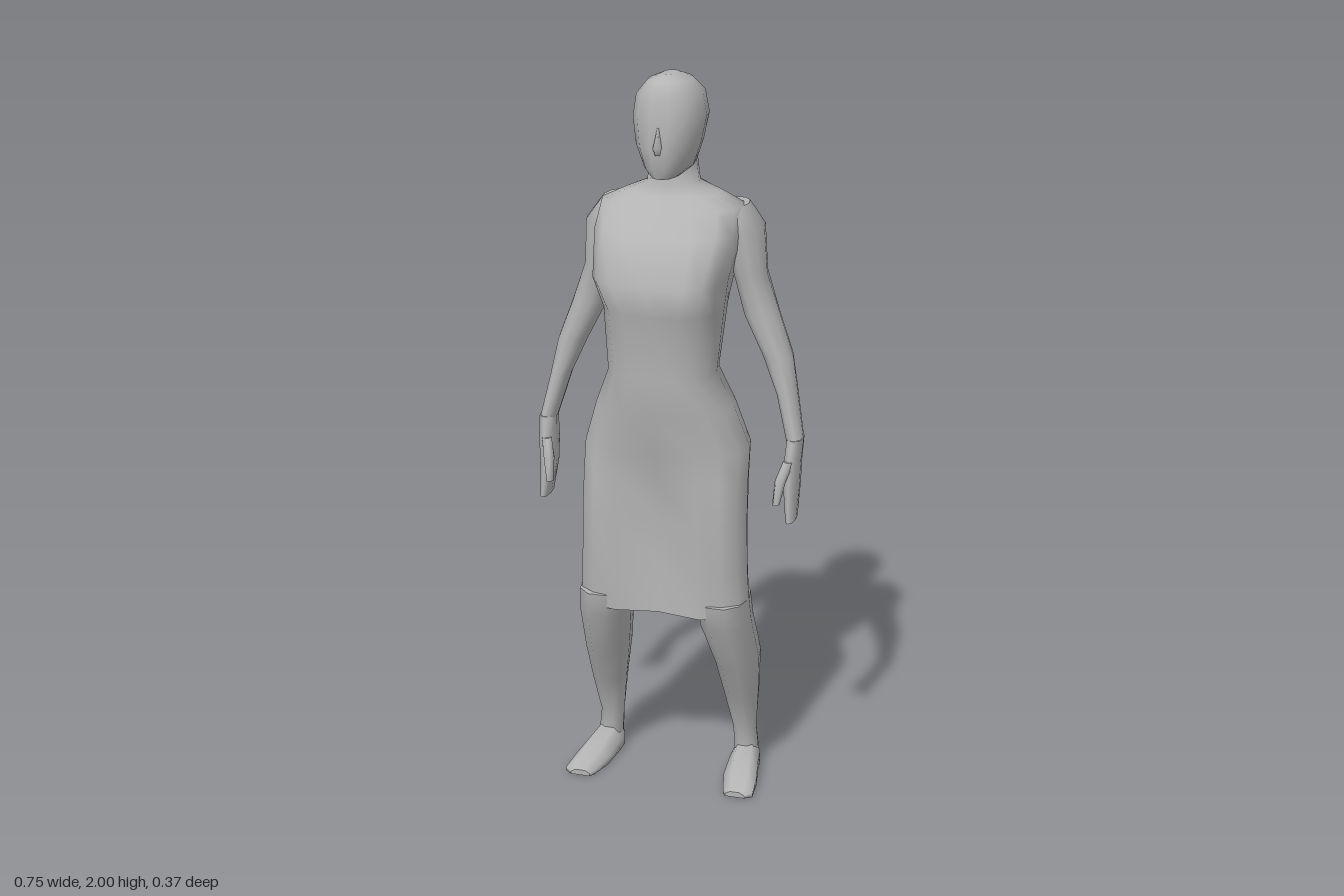
import * as THREE from 'three';

const skin = new THREE.MeshStandardMaterial({ color: 0xb4b4b4 });
skin.name = 'plain grey';

// Skins a list of equal-length rings and closes both ends with crisp caps
function loft(name, rings) {
  const n = rings[0].length, pos = rings.flat(2), idx = [];
  for (let r = 0; r < rings.length - 1; r++) {
    for (let i = 0; i < n; i++) {
      const a = r * n + i, b = r * n + (i + 1) % n;
      idx.push(a, a + n, b, b, a + n, b + n);
    }
  }
  [0, rings.length - 1].forEach((r) => {
    const base = pos.length / 3, ring = rings[r];
    ring.forEach((p) => pos.push(...p));
    pos.push(...[0, 1, 2].map((k) => ring.reduce((s, p) => s + p[k], 0) / n));
    for (let i = 0; i < n; i++) {
      const j = (i + 1) % n;
      if (r === 0) idx.push(base + i, base + j, base + n);
      else idx.push(base + j, base + i, base + n);
    }
  });
  // Turn the faces outward if the enclosed volume is negative
  const at = (i) => new THREE.Vector3().fromArray(pos, i * 3);
  let volume = 0;
  for (let i = 0; i < idx.length; i += 3) {
    volume += at(idx[i]).dot(at(idx[i + 1]).cross(at(idx[i + 2])));
  }
  if (volume < 0) idx.reverse();
  const geo = new THREE.BufferGeometry();
  geo.setAttribute('position', new THREE.Float32BufferAttribute(pos, 3));
  geo.setIndex(idx);
  geo.computeVertexNormals();
  const mesh = new THREE.Mesh(geo, skin);
  mesh.name = name;
  return mesh;
}

// Horizontal rounded ring: e = 1 is an ellipse, smaller is boxier
function ring(y, x0, x1, zBack, zFront, e = 1, n = 12) {
  const pts = [];
  const pow = (v) => Math.sign(v) * Math.pow(Math.abs(v), e);
  for (let i = 0; i < n; i++) {
    const t = (i / n) * Math.PI * 2;
    pts.push([
      (x0 + x1) / 2 + (x1 - x0) / 2 * pow(Math.cos(t)), y,
      (zBack + zFront) / 2 + (zFront - zBack) / 2 * pow(Math.sin(t)),
    ]);
  }
  return pts;
}

export function createModel() {
  const model = new THREE.Group();

  // Torso: y, half width, back z, front z, boxiness
  const torso = [
    [1.77, 0.062, -0.155, 0.0, 1], [1.71, 0.07, -0.155, 0.0, 1],
    [1.685, 0.13, -0.165, 0.015, 0.9], [1.655, 0.195, -0.175, 0.04, 0.85],
    [1.59, 0.2, -0.185, 0.095, 0.75], [1.48, 0.175, -0.172, 0.185, 0.6],
    [1.39, 0.16, -0.155, 0.142, 0.75], [1.22, 0.147, -0.115, 0.143, 0.85],
    [1.12, 0.19, -0.145, 0.13, 0.85], [1.0, 0.23, -0.16, 0.105, 0.8],
  ].map(([y, w, b, f, e]) => ring(y, -w, w, b, f, e, 16));

  // Joined thighs: same rings, hollowed between the legs front and back
  const thighs = [
    [1.0, 0.23, -0.16, 0.105, 0], [0.92, 0.23, -0.135, 0.112, 0.04],
    [0.8, 0.232, -0.112, 0.118, 0.07], [0.66, 0.235, -0.105, 0.112, 0.06],
    [0.53, 0.242, -0.1, 0.1, 0.03],
  ].map(([y, w, b, f, dent]) => ring(y, -w, w, b, f, 0.75, 16).map(([x, h, z]) => {
    const inside = Math.max(0, 1 - Math.abs(x) / 0.13);
    return [x, h, z - Math.sign(z) * dent * inside];
  }));
  model.add(loft('torsoAndThighs', [...torso, ...thighs.slice(1)]));

  // Head: y, half width, back z, front z
  model.add(loft('head', [
    [1.738, 0.035, -0.09, 0.055], [1.76, 0.062, -0.152, 0.062],
    [1.82, 0.083, -0.16, 0.075], [1.89, 0.096, -0.174, 0.066],
    [1.95, 0.086, -0.162, 0.06], [1.985, 0.056, -0.125, 0.035],
    [2.0, 0.02, -0.08, -0.01],
  ].map(([y, w, b, f]) => ring(y, -w, w, b, f, 0.9, 14))));
  model.add(loft('nose', [
    ring(1.875, -0.004, 0.004, 0.03, 0.068, 1, 6),
    ring(1.825, -0.016, 0.016, 0.03, 0.09, 1, 6),
    ring(1.805, -0.01, 0.01, 0.03, 0.078, 1, 6),
  ]));

  for (const side of [1, -1]) {
    const label = side > 0 ? 'left' : 'right';
    const limb = (part, rings) => model.add(loft(label + part,
      rings.map((r) => r.map(([x, y, z]) => [x * side, y, z]))));

    // Each ring: y, inner x, outer x, back z, front z
    const rows = (list, e, n) => list.map(([y, a, b, c, d]) => ring(y, a, b, c, d, e, n));
    limb('Arm', rows([
      [1.655, 0.12, 0.2, -0.165, -0.03], [1.595, 0.13, 0.244, -0.18, -0.01],
      [1.47, 0.163, 0.252, -0.165, -0.035], [1.36, 0.192, 0.29, -0.152, -0.04],
      [1.25, 0.248, 0.33, -0.138, -0.038], [1.15, 0.292, 0.348, -0.12, -0.028],
      [1.03, 0.326, 0.372, -0.088, -0.01],
    ], 0.95, 10));
    limb('Hand', rows([
      [1.035, 0.328, 0.373, -0.088, -0.008], [0.97, 0.325, 0.368, -0.09, 0.012],
      [0.9, 0.326, 0.366, -0.085, 0.012], [0.81, 0.338, 0.362, -0.062, 0.022],
    ], 0.8, 8));
    limb('Thumb', rows([
      [0.98, 0.328, 0.358, -0.02, 0.012], [0.93, 0.312, 0.342, 0.0, 0.045],
      [0.87, 0.31, 0.33, 0.022, 0.052],
    ], 0.9, 6));
    limb('LowerLeg', rows([
      [0.57, 0.1, 0.24, -0.1, 0.1], [0.5, 0.103, 0.244, -0.115, 0.09],
      [0.36, 0.13, 0.25, -0.178, 0.02], [0.24, 0.148, 0.243, -0.174, -0.038],
      [0.12, 0.164, 0.232, -0.165, -0.098], [0.03, 0.17, 0.24, -0.178, -0.09],
    ], 0.9, 10));

    // Foot: z, inner x, outer x, height, from heel to toe
    limb('Foot', [
      [-0.178, 0.18, 0.228, 0.05], [-0.14, 0.166, 0.242, 0.075],
      [-0.09, 0.166, 0.25, 0.068], [0.0, 0.172, 0.268, 0.042],
      [0.07, 0.19, 0.275, 0.022], [0.085, 0.2, 0.255, 0.016],
    ].map(([z, a, b, h]) => [
      [a, 0, z], [b, 0, z], [b, h * 0.5, z],
      [b * 0.75 + a * 0.25, h, z], [a * 0.75 + b * 0.25, h, z], [a, h * 0.5, z],
    ]));
  }
  return model;
}
